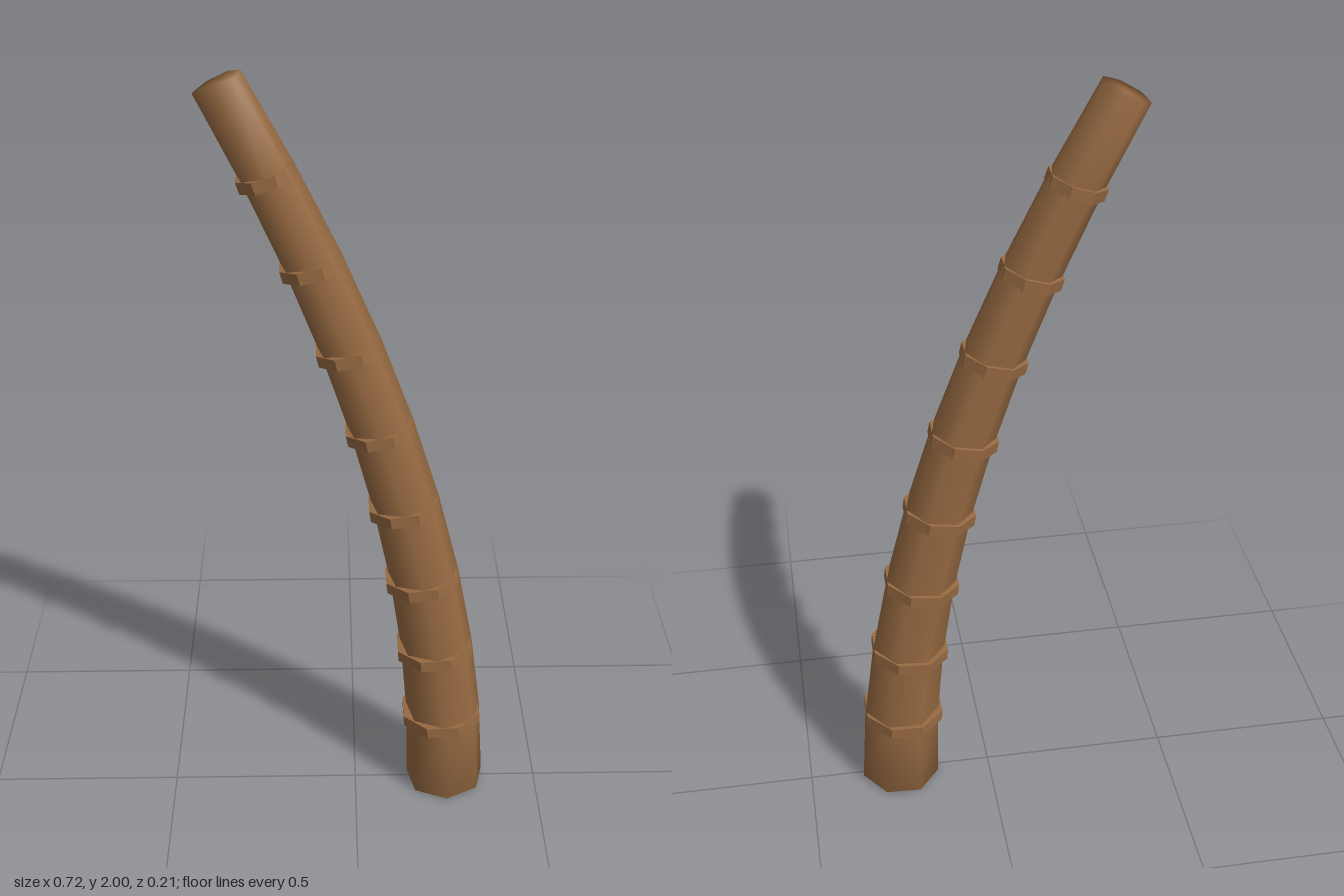
import * as THREE from 'three';
import { mergeVertices } from 'three/addons/utils/BufferGeometryUtils.js';

const SEGMENTS = 9;
const BASE_Y = 0.005, TOP_Y = 1.973;

// Centre line of the leaning trunk and its taper, t from 0 (base) to 1 (top)
const centre = (t) => new THREE.Vector3(0.25 - 0.56 * Math.pow(t, 1.9), BASE_Y + (TOP_Y - BASE_Y) * t, 0);
const radius = (t) => 0.108 + (0.063 - 0.108) * t;
const tilt = (t) => 0.045 + 0.4 * t;

// Seven-sided tapered column bent along the centre line, smooth over the ends
function trunkGeometry() {
  const source = new THREE.CylinderGeometry(1, 1, 1, 7, SEGMENTS);
  source.deleteAttribute('normal');
  source.deleteAttribute('uv');
  const geometry = mergeVertices(source, 1e-4);
  const pos = geometry.attributes.position;
  const axis = new THREE.Vector3(0, 0, 1);
  const v = new THREE.Vector3();
  for (let i = 0; i < pos.count; i++) {
    v.fromBufferAttribute(pos, i);
    const t = v.y + 0.5;
    v.set(v.x * radius(t), 0, v.z * radius(t)).applyAxisAngle(axis, tilt(t)).add(centre(t));
    pos.setXYZ(i, v.x, v.y, v.z);
  }
  geometry.computeVertexNormals();
  return geometry;
}

export function createModel() {
  const group = new THREE.Group();
  group.name = 'palmTrunk';
  const bark = new THREE.MeshStandardMaterial({ color: 0x976a42 });
  bark.name = 'bark';

  const trunk = new THREE.Mesh(trunkGeometry(), bark);
  trunk.name = 'trunk';
  group.add(trunk);

  // Thin octagonal bark rings whose corners stand out of the trunk
  for (let i = 1; i < SEGMENTS; i++) {
    const t = i / SEGMENTS;
    const r = radius(t) * 1.08;
    const geometry = new THREE.CylinderGeometry(r, r, 0.03, 8, 1, false, Math.PI / 8).toNonIndexed();
    geometry.computeVertexNormals();
    const ring = new THREE.Mesh(geometry, bark);
    ring.name = 'barkRing' + i;
    ring.position.copy(centre(t));
    ring.position.x -= 0.007;
    ring.position.y += 0.005;
    ring.rotation.z = 0.35 * t;
    group.add(ring);
  }
  return group;
}
